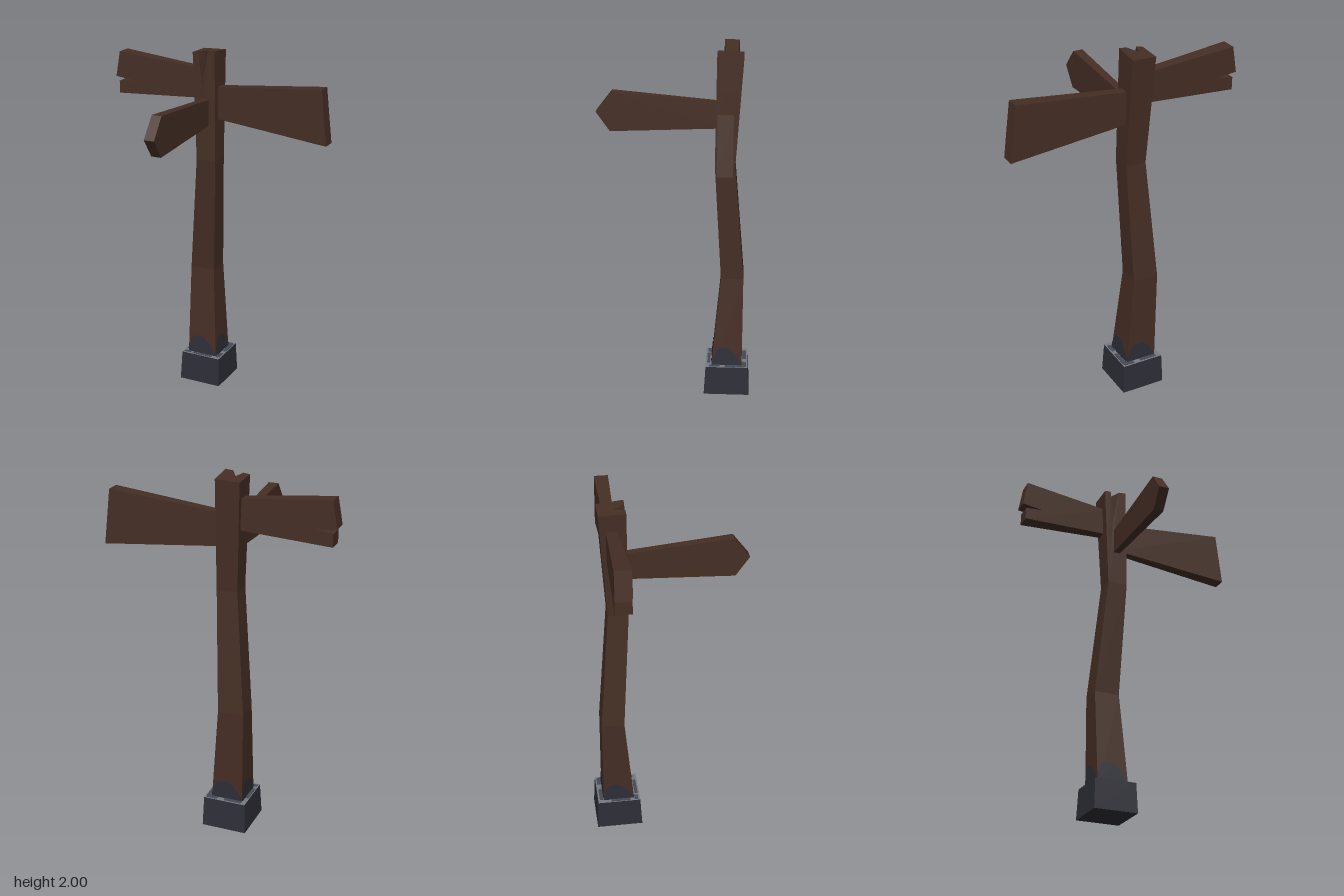
import * as THREE from 'three';

const mat = (name, color) => {
  const m = new THREE.MeshStandardMaterial({ color });
  m.name = name;
  return m;
};
const lerp = THREE.MathUtils.lerp;

// Flat-faced geometry from convex polygons, each a fan of [x, y, z] corners
function fromPolygons(polys) {
  const pos = [];
  for (const p of polys) {
    for (let i = 1; i < p.length - 1; i++) pos.push(...p[0], ...p[i], ...p[i + 1]);
  }
  const g = new THREE.BufferGeometry();
  g.setAttribute('position', new THREE.Float32BufferAttribute(pos, 3));
  g.computeVertexNormals();
  return g;
}

// Plank cut from a side outline [u, y]; its thickness changes from t0 at u0 to t1 at u1
function plank(outline, u0, u1, t0, t1, alongZ) {
  const shape = new THREE.Shape(outline.map(([u, y]) => new THREE.Vector2(u, y)));
  const g = new THREE.ExtrudeGeometry(shape, { depth: 1, bevelEnabled: false });
  const p = g.attributes.position;
  for (let i = 0; i < p.count; i++) {
    const u = p.getX(i), y = p.getY(i), k = (u - u0) / (u1 - u0);
    const w = alongZ ? 1 - p.getZ(i) : p.getZ(i);
    const across = lerp(lerp(t0[0], t1[0], k), lerp(t0[1], t1[1], k), w);
    if (alongZ) p.setXYZ(i, across, y, u);
    else p.setXYZ(i, u, y, across);
  }
  g.computeVertexNormals();
  return g;
}

export function createModel() {
  const model = new THREE.Group();
  model.name = 'signpost';
  const wood = mat('brown wood', 0x452e24);
  const stone = mat('dark stone', 0x2e2e38);
  const paleStone = mat('pale worn stone', 0x777b82);
  const greyStone = mat('grey stone', 0x454954);
  const add = (name, geometry, material) => {
    const m = new THREE.Mesh(geometry, material);
    m.name = name;
    model.add(m);
    return m;
  };

  // Post: square rings, corners in order front right(-x), front left(+x), back left, back right
  const ring = (y, x0, x1, zf, zb) => [[x0, y, zf], [x1, y, zf], [x1, y, zb], [x0, y, zb]];
  const rings = [
    ring(0.1, -0.165, 0.018, -0.206, -0.387),
    ring(0.7, -0.171, -0.026, -0.259, -0.386),
    ring(1.38, -0.116, 0, -0.217, -0.328),
  ];
  const polys = [];
  const wall = (a, b, i) => {
    const j = (i + 1) % 4;
    polys.push([a[i], a[j], b[j], b[i]]);
  };
  for (let r = 0; r < 2; r++) for (let i = 0; i < 4; i++) wall(rings[r], rings[r + 1], i);

  // Top of the post with a split in its front edge
  const top = [[-0.143, 1.985, -0.222], [-0.01, 2, -0.222], [-0.01, 1.985, -0.365], [-0.143, 1.98, -0.365]];
  const [fl, fr, br, bl] = top;
  const n1 = [-0.107, 1.99, -0.222], n2 = [-0.052, 1.996, -0.222];
  const inner = [-0.09, 1.987, -0.285], low = [-0.088, 1.81, -0.221];
  for (let i = 1; i < 4; i++) wall(rings[2], top, i);
  polys.push(
    [rings[2][0], rings[2][1], fr, n2, low], [rings[2][0], low, n1, fl],
    [fl, n1, inner, bl], [n2, fr, br, inner], [inner, br, bl],
    [n1, low, inner], [low, n2, inner],
  );
  add('post', fromPolygons(polys), wood);

  // Dark stains climbing each face at the foot of the post
  const stain = [[0, 0.165], [1, 0.165], [0.97, 0.19], [0.8, 0.235], [0.56, 0.275], [0.28, 0.28], [0.12, 0.265], [0, 0.2]];
  const out = [[0, 1], [1, 0], [0, -1], [-1, 0]];
  for (let i = 0; i < 4; i++) {
    const j = (i + 1) % 4, [a, b] = rings;
    const onFace = ([s, y]) => {
      const k = (y - 0.1) / 0.6;
      const at = (c) => lerp(lerp(a[i][c], a[j][c], s), lerp(b[i][c], b[j][c], s), k);
      return [at(0) + out[i][0] * 0.003, y, at(2) + out[i][1] * 0.003];
    };
    add('footStain', fromPolygons([stain.map(onFace)]), stone);
  }

  // Stone footing, slightly narrower at the top, with a worn pale top face
  const footing = new THREE.BoxGeometry(0.253, 0.172, 0.26);
  const fp = footing.attributes.position;
  for (let i = 0; i < fp.count; i++) {
    if (fp.getY(i) > 0) fp.setXYZ(i, fp.getX(i) * 0.945, fp.getY(i), fp.getZ(i) * 0.93);
  }
  footing.translate(-0.073, 0.086, -0.3);
  footing.computeVertexNormals();
  add('footing', footing, [stone, stone, paleStone, stone, stone, stone]);

  // Grey patches on the footing top: x, z, width, depth
  const patches = [
    [-0.115, -0.4, 0.1, 0.022], [0.005, -0.4, 0.06, 0.025], [0.03, -0.345, 0.022, 0.11],
    [0.028, -0.23, 0.02, 0.06], [-0.07, -0.196, 0.12, 0.018], [-0.177, -0.29, 0.02, 0.11],
    [-0.165, -0.2, 0.04, 0.02],
  ];
  for (const [x, z, w, d] of patches) {
    const g = new THREE.BoxGeometry(w, 0.004, d);
    g.translate(x, 0.172, z);
    add('footingPatch', g, greyStone);
  }

  // Sign boards: wide one on the left, split one on the right, pointed one in front
  add('leftBoard', plank(
    [[-0.04, 1.617], [0.645, 1.548], [0.608, 1.853], [-0.04, 1.793]],
    -0.01, 0.645, [-0.31, -0.26], [-0.32, -0.24]), wood);
  add('rightBoard', plank(
    [[-0.11, 1.72], [-0.625, 1.695], [-0.625, 1.765], [-0.525, 1.776], [-0.645, 1.79], [-0.62, 1.935], [-0.11, 1.885]],
    -0.14, -0.645, [-0.327, -0.27], [-0.338, -0.25]), wood);
  add('frontBoard', plank(
    [[-0.25, 1.58], [0.355, 1.558], [0.43, 1.665], [0.344, 1.777], [-0.25, 1.726]],
    -0.22, 0.43, [-0.083, -0.045], [-0.092, -0.033], true), wood);

  return model;
}
